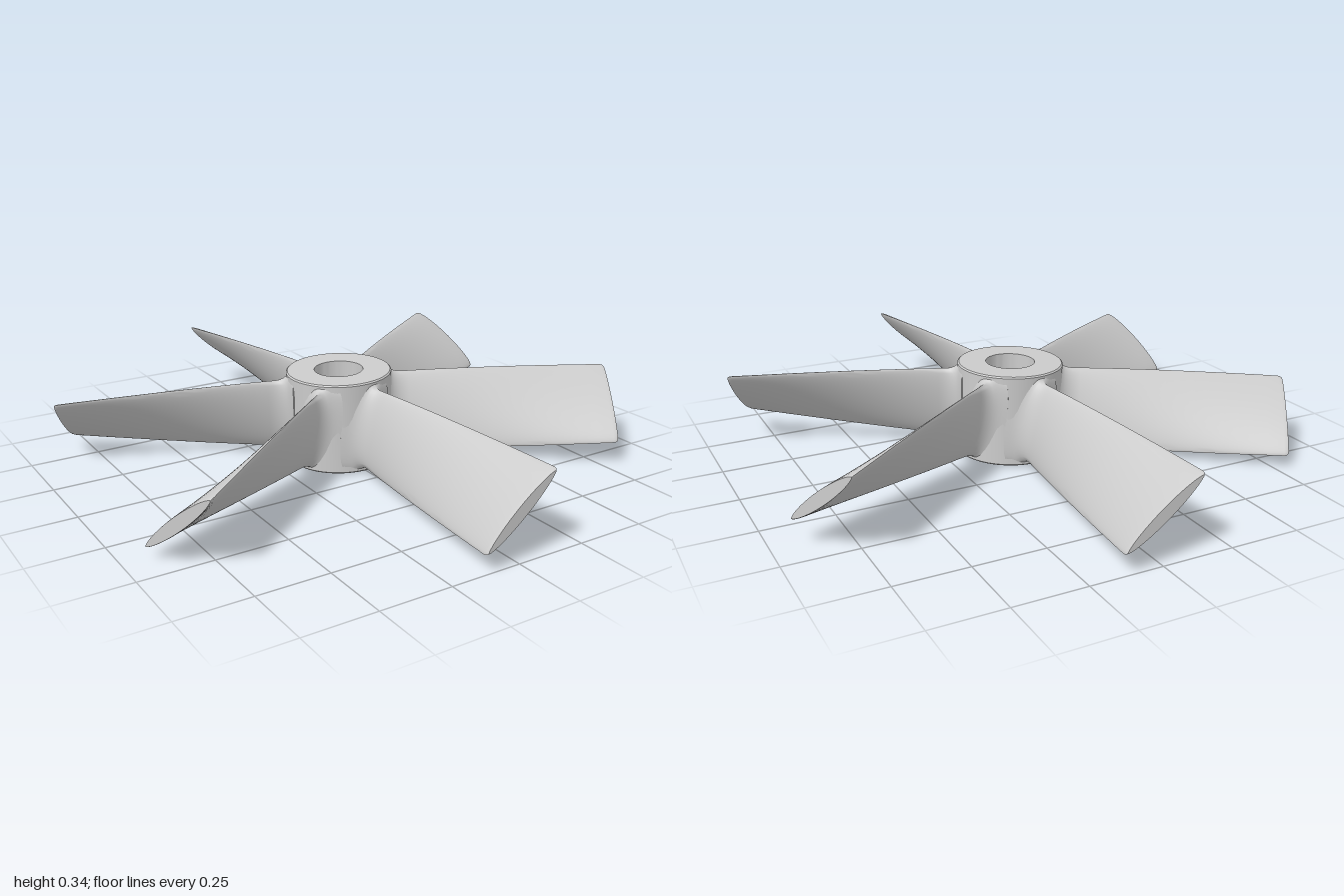
import * as THREE from 'three';
import { toCreasedNormals } from 'three/addons/utils/BufferGeometryUtils.js';

const HALF_HEIGHT = 0.165, HUB_R = 0.19, BORE_R = 0.088, MID_Y = 0.176;
const SEG = 40;

// Quarter-circle fillet that grows from 0 at r = r0 + R to R at r = r0
function fillet(r, r0, R) {
  const t = Math.min(Math.max((r0 + R - r) / R, 0), 1);
  return R * (1 - Math.sqrt(1 - t * t));
}

// One point of the blade's cross-section at radius r (CCW seen from the tip)
function sectionPoint(r, angle, scale) {
  const s = Math.max(0, (r - 0.2) / 0.8);
  const hx = 0.13 * Math.pow(r, 0.95);                        // helical twist
  const hy = 0.139 - 0.033 * Math.pow(s, 1.5) + fillet(r, 0.18, 0.05) * 0.5;
  const chord = Math.hypot(hx, hy), cx = hx / chord, cy = hy / chord;
  const flare = fillet(r, 0.165, 0.09);
  const thick = Math.min(0.026 - 0.003 * s + flare, r * 0.577);
  // lens-shaped blade, boxier where it blends into the hub
  const power = 1.3 - 1.0 * Math.min(flare / 0.06, 1);
  const c = Math.cos(angle), n = Math.sin(angle);
  const u = c * chord * scale;
  const v = Math.sign(n) * Math.pow(Math.abs(n), power) * thick * scale;
  const y = THREE.MathUtils.clamp(cy * u + cx * v, -HALF_HEIGHT + 0.002, HALF_HEIGHT - 0.002);
  return [cx * u - cy * v, y, r];
}

function bladeGeometry() {
  const rows = [0.15, 0.165, 0.172, 0.18, 0.19, 0.2, 0.212, 0.225, 0.24, 0.255];
  for (let i = 1; i <= 14; i++) rows.push(0.255 + (0.985 - 0.255) * i / 14);
  rows.push(0.994, 1);
  const scales = rows.map((r) => (r > 0.999 ? 0.95 : r > 0.99 ? 0.985 : 1));
  const pos = [], index = [];
  rows.forEach((r, i) => {
    for (let j = 0; j < SEG; j++) pos.push(...sectionPoint(r, j / SEG * Math.PI * 2, scales[i]));
  });
  for (let i = 0; i < rows.length - 1; i++) {
    for (let j = 0; j < SEG; j++) {
      const k = (j + 1) % SEG;
      const a = i * SEG + j, b = i * SEG + k;
      index.push(a, b, b + SEG, a, b + SEG, a + SEG);
    }
  }
  // flat tip
  const last = (rows.length - 1) * SEG, centre = rows.length * SEG;
  pos.push(0, 0, 1);
  for (let j = 0; j < SEG; j++) index.push(centre, last + j, last + (j + 1) % SEG);
  const g = new THREE.BufferGeometry();
  g.setAttribute('position', new THREE.Float32BufferAttribute(pos, 3));
  g.setIndex(index);
  return toCreasedNormals(g, 0.8);
}

// Ring with a through bore and slightly eased outer edges
function hubGeometry() {
  const h = HALF_HEIGHT, e = 0.005;
  const profile = [
    [BORE_R, -h], [HUB_R - e, -h], [HUB_R, -h + e], [HUB_R, h - e],
    [HUB_R - e, h], [BORE_R, h], [BORE_R, -h],
  ].map(([x, y]) => new THREE.Vector2(x, y));
  return toCreasedNormals(new THREE.LatheGeometry(profile, 64), 0.6);
}

export function createModel() {
  const model = new THREE.Group();
  model.name = 'propeller';
  const material = new THREE.MeshStandardMaterial({ color: 0xcccccc });

  // the whole rotor leans very slightly to one side
  const rotor = new THREE.Group();
  rotor.name = 'rotor';
  rotor.position.y = MID_Y;
  rotor.rotation.z = 0.025;
  model.add(rotor);

  const hub = new THREE.Mesh(hubGeometry(), material);
  hub.name = 'hub';
  rotor.add(hub);

  const blade = bladeGeometry();
  for (let i = 0; i < 6; i++) {
    const mesh = new THREE.Mesh(blade, material);
    mesh.name = 'blade' + (i + 1);
    mesh.rotation.y = i * Math.PI / 3;
    rotor.add(mesh);
  }
  return model;
}
